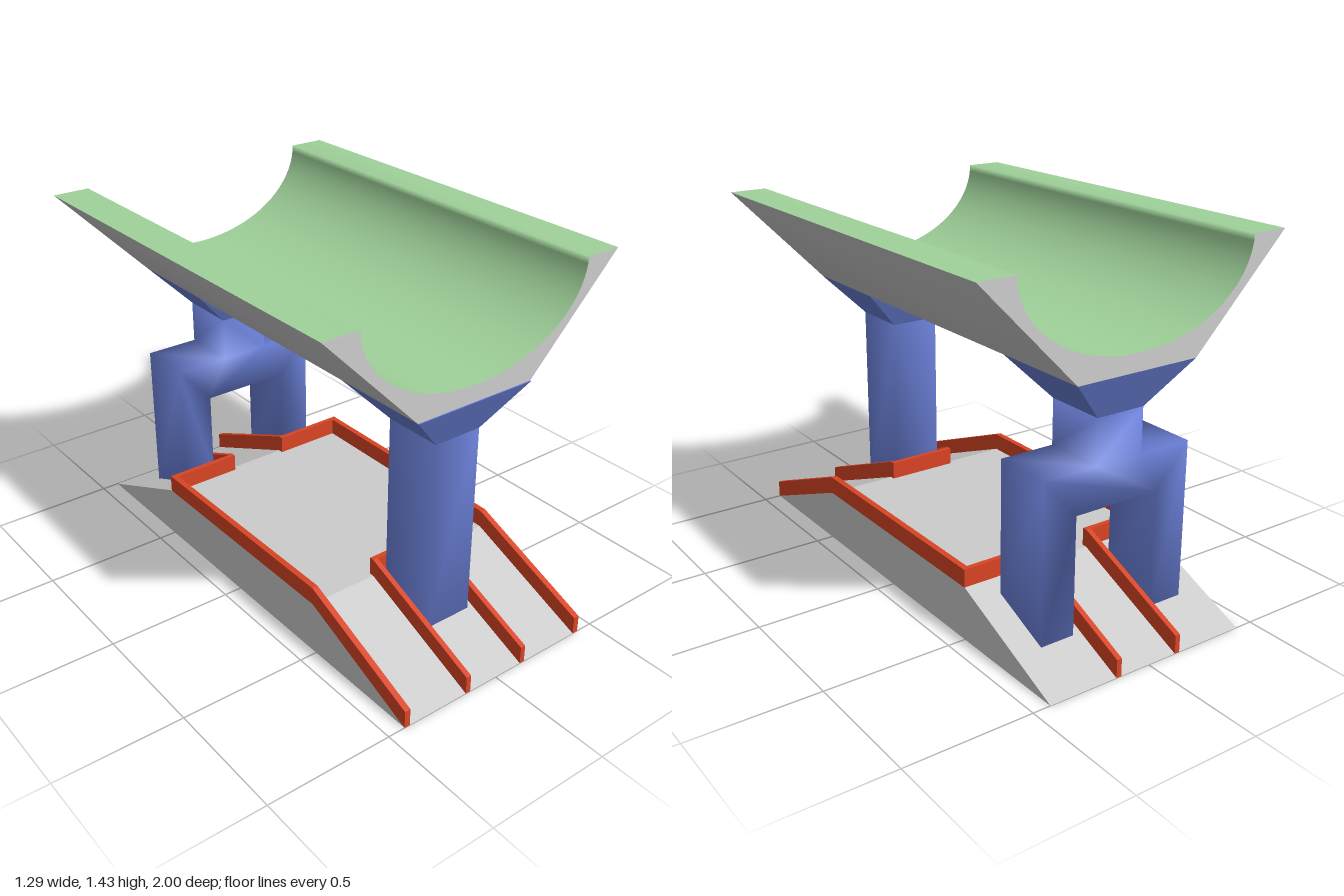
import * as THREE from 'three';
import { mergeVertices } from 'three/addons/utils/BufferGeometryUtils.js';

const material = (color, side = THREE.FrontSide) => new THREE.MeshStandardMaterial({ color, side });
const grey = material(0xcccccc);
const red = material(0xd84424);
const blue = material(0x6a7fd6);
const green = material(0xa0d29a, THREE.DoubleSide);
const greyThin = material(0xcccccc, THREE.DoubleSide);

const HALF_W = 0.43, DECK_Y = 0.21, RAIL_H = 0.07;
const FRONT_Z = 0.48, BACK_Z = -0.5;

const shapeOf = (pts) => new THREE.Shape(pts.map(([x, y]) => new THREE.Vector2(x, y)));

// Height of the ramped deck at a given z
function deckHeight(z) {
  if (z > FRONT_Z) return DECK_Y * (1 - z) / (1 - FRONT_Z);
  if (z < BACK_Z) return DECK_Y * (1 + z) / (1 + BACK_Z);
  return DECK_Y;
}

// Side profile of [z, y] points, extruded from x0 to x1
function sideExtrude(pts, x0, x1) {
  const g = new THREE.ExtrudeGeometry(shapeOf(pts), { depth: x1 - x0, bevelEnabled: false });
  return g.rotateY(-Math.PI / 2).translate(x1, 0, 0);
}

// Shared vertices give a softly shaded surface
function soften(g) {
  g.deleteAttribute('normal');
  g.deleteAttribute('uv');
  const merged = mergeVertices(g, 1e-4);
  merged.computeVertexNormals();
  return merged;
}

// Open strip following an [x, y] profile between two z positions
function strip(pts, z0, z1) {
  const pos = [], idx = [];
  pts.forEach(([x, y]) => pos.push(x, y, z0, x, y, z1));
  for (let i = 0; i < pts.length - 1; i++) {
    const a = i * 2;
    idx.push(a, a + 1, a + 2, a + 1, a + 3, a + 2);
  }
  const g = new THREE.BufferGeometry();
  g.setAttribute('position', new THREE.Float32BufferAttribute(pos, 3));
  g.setIndex(idx);
  g.computeVertexNormals();
  return g;
}

// Post outline in x/y, extruded in z, with its feet cut to the deck slope
function post(pts, z0, z1) {
  const g = new THREE.ExtrudeGeometry(shapeOf(pts), { depth: z1 - z0, bevelEnabled: false });
  g.translate(0, 0, z0);
  const p = g.attributes.position;
  for (let i = 0; i < p.count; i++) {
    if (p.getY(i) < 0.15) p.setY(i, deckHeight(p.getZ(i)) - 0.004);
  }
  return soften(g);
}

// Flared head: a box whose top spreads outward
function flare(z0, z1, topZ0, topZ1) {
  const g = new THREE.BoxGeometry(0.2, 0.165, 1).translate(0, 0.9575, 0);
  const p = g.attributes.position;
  for (let i = 0; i < p.count; i++) {
    const top = p.getY(i) > 0.95, front = p.getZ(i) > 0;
    if (top) p.setX(i, Math.sign(p.getX(i)) * 0.255);
    p.setZ(i, top ? (front ? topZ1 : topZ0) : (front ? z1 : z0));
  }
  g.computeVertexNormals();
  return g;
}

export function createModel() {
  const model = new THREE.Group();
  const add = (name, geometry, mat) => {
    const mesh = new THREE.Mesh(geometry, mat);
    mesh.name = name;
    model.add(mesh);
    return mesh;
  };

  // Ramped base
  add('base', sideExtrude([[1, 0], [FRONT_Z, DECK_Y], [BACK_Z, DECK_Y], [-1, 0]], -HALF_W + 0.001, HALF_W - 0.001), grey);

  // Rails: outer ones run along the front ramp and deck, inner ones along both ramps
  const top = DECK_Y + RAIL_H;
  const outer = [[1, 0], [1, RAIL_H], [FRONT_Z, top], [BACK_Z, top], [BACK_Z, DECK_Y], [FRONT_Z, DECK_Y]];
  const innerFront = [[1, 0], [1, RAIL_H], [FRONT_Z, top], [FRONT_Z, DECK_Y]];
  const innerBack = [[BACK_Z, DECK_Y], [BACK_Z, top], [-1, RAIL_H], [-1, 0]];
  const wall = (z0, z1) => [[z1, DECK_Y], [z1, top], [z0, top], [z0, DECK_Y]];
  for (const [side, s] of [['left', 1], ['right', -1]]) {
    const rail = (name, pts, a, b) =>
      add(side + name, sideExtrude(pts, Math.min(s * a, s * b), Math.max(s * a, s * b)), red);
    rail('OuterRail', outer, 0.406, HALF_W);
    rail('FrontInnerRail', innerFront, 0.124, 0.145);
    rail('BackInnerRail', innerBack, 0.124, 0.145);
    rail('BackCrossRail', wall(BACK_Z, BACK_Z + 0.02), 0.124, 0.406);
  }
  add('frontCrossRail', sideExtrude(wall(FRONT_Z - 0.02, FRONT_Z), -0.145, 0.145), red);

  // Single front post
  add('frontPost', post([[-0.1, 0.1], [0.1, 0.1], [0.1, 0.875], [-0.1, 0.875]], 0.5, 0.74), blue);
  add('frontPostHead', flare(0.5, 0.74, 0.42, 0.82), blue);

  // Forked back post
  const fork = [
    [-0.32, 0.1], [-0.18, 0.1], [-0.18, 0.54], [0.18, 0.54], [0.18, 0.1], [0.32, 0.1],
    [0.32, 0.7], [0.1, 0.7], [0.1, 0.875], [-0.1, 0.875], [-0.1, 0.7], [-0.32, 0.7],
  ];
  add('backForkPost', post(fork, -0.805, -0.565), blue);
  add('backPostHead', flare(-0.805, -0.565, -0.885, -0.485), blue);

  // Cradle: rounded liner, angled shell and two end faces
  const rimY = 1.435, z0 = -0.885, z1 = 0.815;
  const liner = [[-0.643, rimY]];
  for (let i = 0; i <= 40; i++) {
    const a = Math.PI * (1 + i / 40);
    liner.push([0.496 * Math.cos(a), rimY + 0.33 * Math.sin(a)]);
  }
  liner.push([0.643, rimY]);
  const shell = [[0.643, rimY], [0.255, 1.04], [-0.255, 1.04], [-0.643, rimY]];
  add('cradleLiner', strip(liner, z0, z1), green);
  add('cradleShell', strip(shell, z0, z1), greyThin);
  const section = shapeOf([...liner, ...shell.slice(1, 3)]);
  add('cradleFrontEnd', new THREE.ShapeGeometry(section).translate(0, 0, z1), greyThin);
  add('cradleBackEnd', new THREE.ShapeGeometry(section).rotateY(Math.PI).translate(0, 0, z0), greyThin);

  return model;
}
